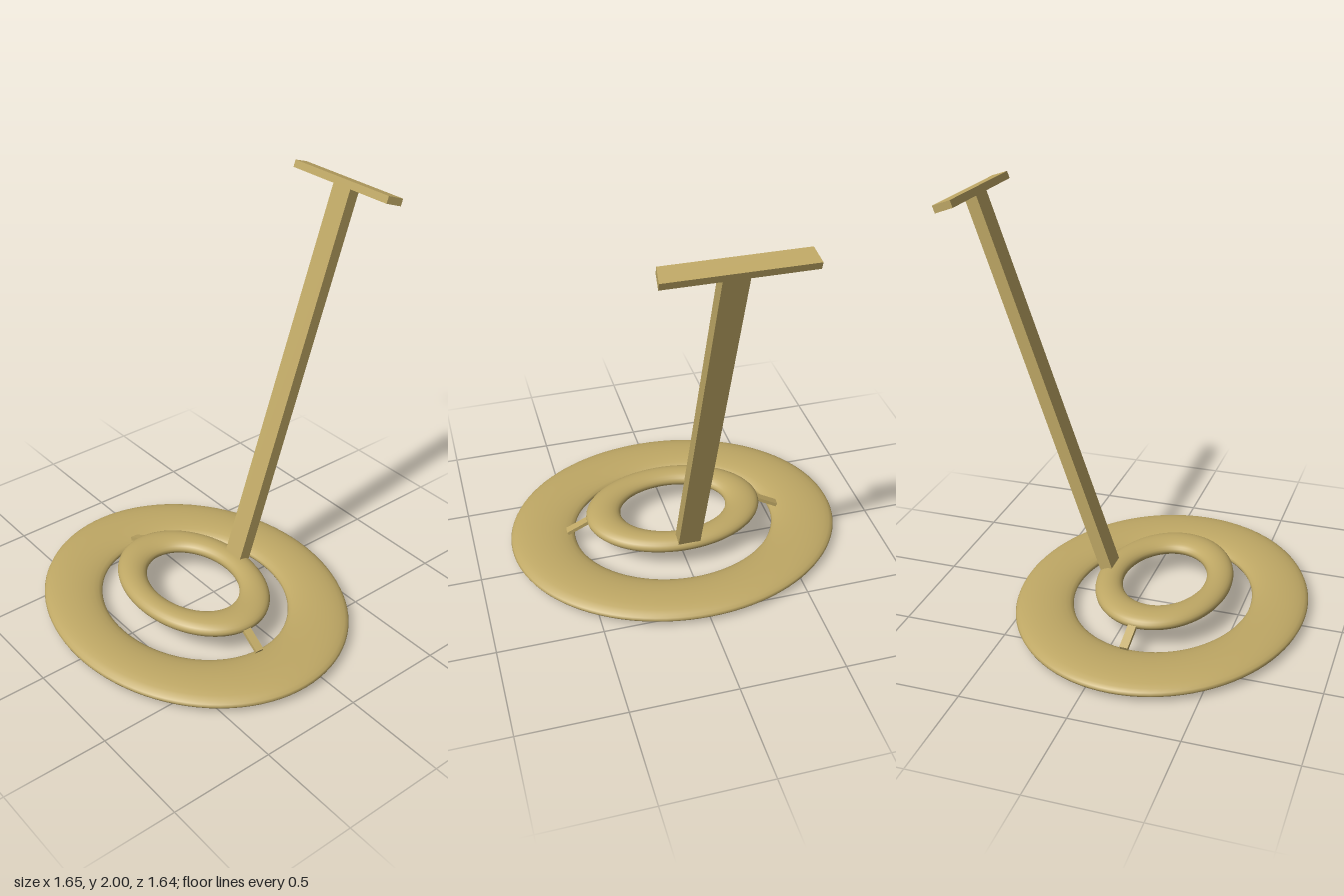
import * as THREE from 'three';

const material = new THREE.MeshStandardMaterial({ color: 0xbfa865 });

function addMesh(parent, name, geometry) {
  const mesh = new THREE.Mesh(geometry, material);
  mesh.name = name;
  parent.add(mesh);
  return mesh;
}

// Flattened oval ring lying in the xz plane
function addRing(parent, name, { radius, tube, depthScale, height, y, z }) {
  const geometry = new THREE.TorusGeometry(radius, tube, 24, 96);
  geometry.rotateX(-Math.PI / 2);
  geometry.scale(1, height / (2 * tube), depthScale);
  addMesh(parent, name, geometry).position.set(0, y, z);
}

// Flat bar running between two points
function addStrut(parent, name, from, to, width, thickness) {
  const strut = addMesh(parent, name, new THREE.BoxGeometry(width, thickness, from.distanceTo(to)));
  strut.position.copy(from).add(to).multiplyScalar(0.5);
  strut.lookAt(to);
}

export function createModel() {
  const model = new THREE.Group();
  model.name = 'ringStand';

  // Wide ring on the ground and the smaller ring raised inside it
  addRing(model, 'baseRing', { radius: 0.665, tube: 0.16, depthScale: 0.843, height: 0.08, y: 0.04, z: 0.124 });
  addRing(model, 'innerRing', { radius: 0.3565, tube: 0.0865, depthScale: 0.727, height: 0.08, y: 0.135, z: 0.132 });

  // Sloping struts joining the rings, skewed slightly about the centre
  for (const side of [1, -1]) {
    addStrut(model, side > 0 ? 'leftStrut' : 'rightStrut',
      new THREE.Vector3(side * 0.4, 0.146, 0.13 + side * 0.02),
      new THREE.Vector3(side * 0.54, 0.072, 0.13 + side * 0.03), 0.04, 0.018);
  }

  // Handle leaning backwards from the rear of the inner ring
  const handle = new THREE.Group();
  handle.name = 'handle';
  handle.position.set(0, 0.155, -0.147);
  handle.rotation.x = -0.333;
  model.add(handle);

  const poleLength = 1.905;
  addMesh(handle, 'pole', new THREE.BoxGeometry(0.11, poleLength, 0.06)).position.y = poleLength / 2;

  // Crossbar with slanted ends, slightly wider at the back
  const outline = new THREE.Shape([
    [-0.315, -0.0425], [0.292, -0.0425], [0.303, 0.0425], [-0.325, 0.0425],
  ].map(([x, y]) => new THREE.Vector2(x, y)));
  const barGeometry = new THREE.ExtrudeGeometry(outline, { depth: 0.035, bevelEnabled: false });
  barGeometry.rotateX(-Math.PI / 2);
  addMesh(handle, 'crossbar', barGeometry).position.y = poleLength - 0.003;

  return model;
}
